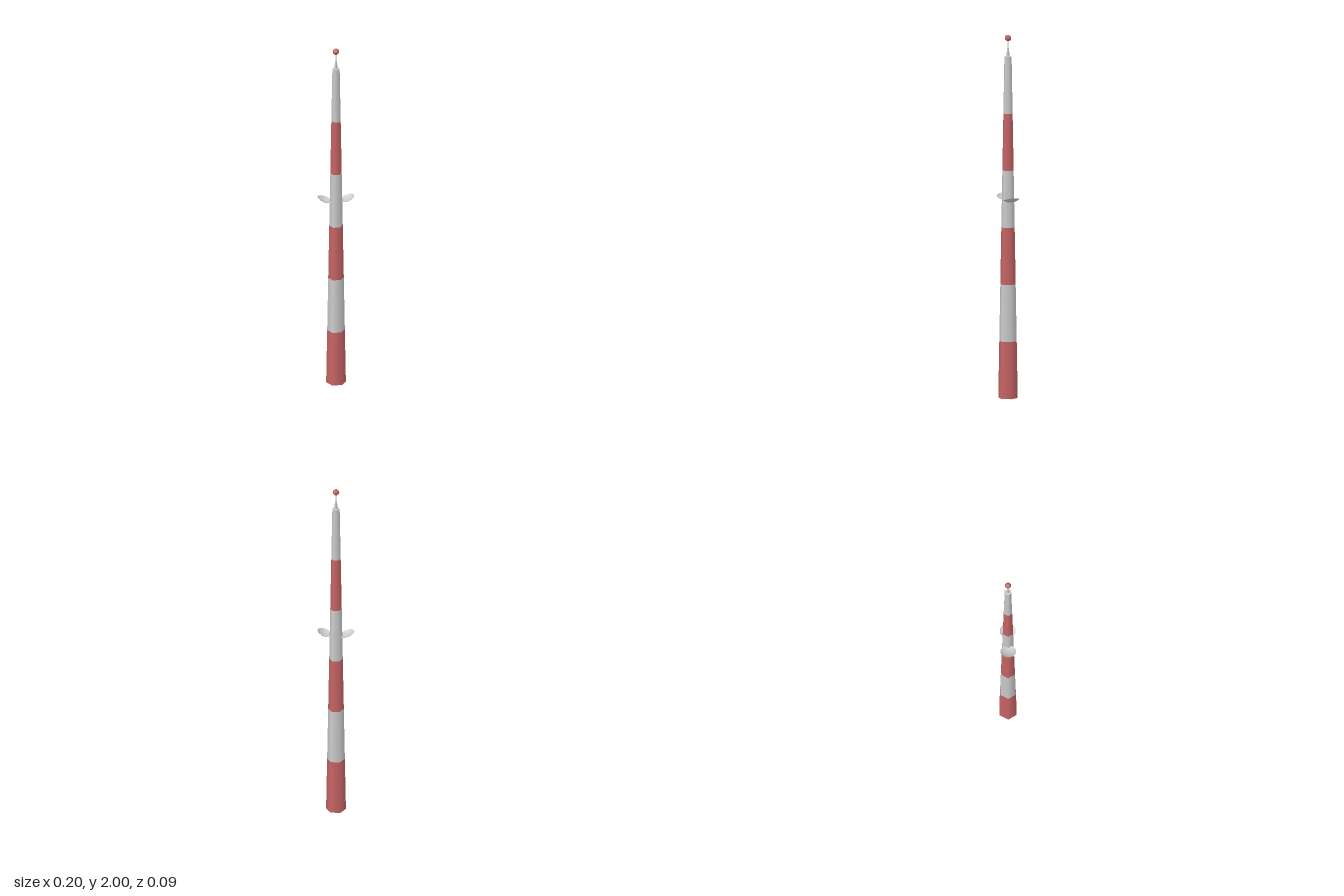
import * as THREE from 'three';

const grey = new THREE.MeshStandardMaterial({ color: 0xcccccc });
const greyThin = new THREE.MeshStandardMaterial({ color: 0xcccccc, side: THREE.DoubleSide });
const red = new THREE.MeshStandardMaterial({ color: 0xc86464 });

export function createModel() {
  const group = new THREE.Group();
  const add = (name, geometry, material, y) => {
    const mesh = new THREE.Mesh(geometry, material);
    mesh.name = name;
    mesh.position.y = y;
    group.add(mesh);
    return mesh;
  };
  // six-sided tapered column with corners on the x axis
  const column = (top, bottom, height, open = false) =>
    new THREE.CylinderGeometry(top, bottom, height, 6, 1, open, Math.PI / 6);

  // tower: six tapering bands, alternately red and grey
  const bands = 6, towerHeight = 1.88, bandHeight = towerHeight / bands;
  const radiusAt = (i) => THREE.MathUtils.lerp(0.054, 0.02, i / bands);
  for (let i = 0; i < bands; i++) {
    add(`towerBand${i + 1}`, column(radiusAt(i + 1), radiusAt(i), bandHeight),
      i % 2 ? grey : red, (i + 0.5) * bandHeight);
  }

  // mast with a round beacon on top
  add('mastBase', column(0.006, 0.008, 0.045), grey, towerHeight + 0.0225);
  add('mastRod', column(0.003, 0.004, 0.06), grey, 1.95);
  add('beacon', new THREE.SphereGeometry(0.018, 6, 6), red, 1.982);

  // pair of shallow bowls, outer rims tilted up
  const rim = 0.044, depth = 0.014;
  const sphereRadius = (rim * rim + depth * depth) / (2 * depth);
  const angle = Math.asin(rim / sphereRadius);
  for (const side of [1, -1]) {
    const bowl = new THREE.SphereGeometry(sphereRadius, 10, 5, 0, Math.PI * 2, Math.PI - angle, angle);
    bowl.translate(0, sphereRadius - depth, 0);
    const dish = add(side > 0 ? 'leftDish' : 'rightDish', bowl, greyThin, 1.1);
    dish.position.x = side * 0.06;
    dish.rotation.z = side * 0.34;
  }
  return group;
}
